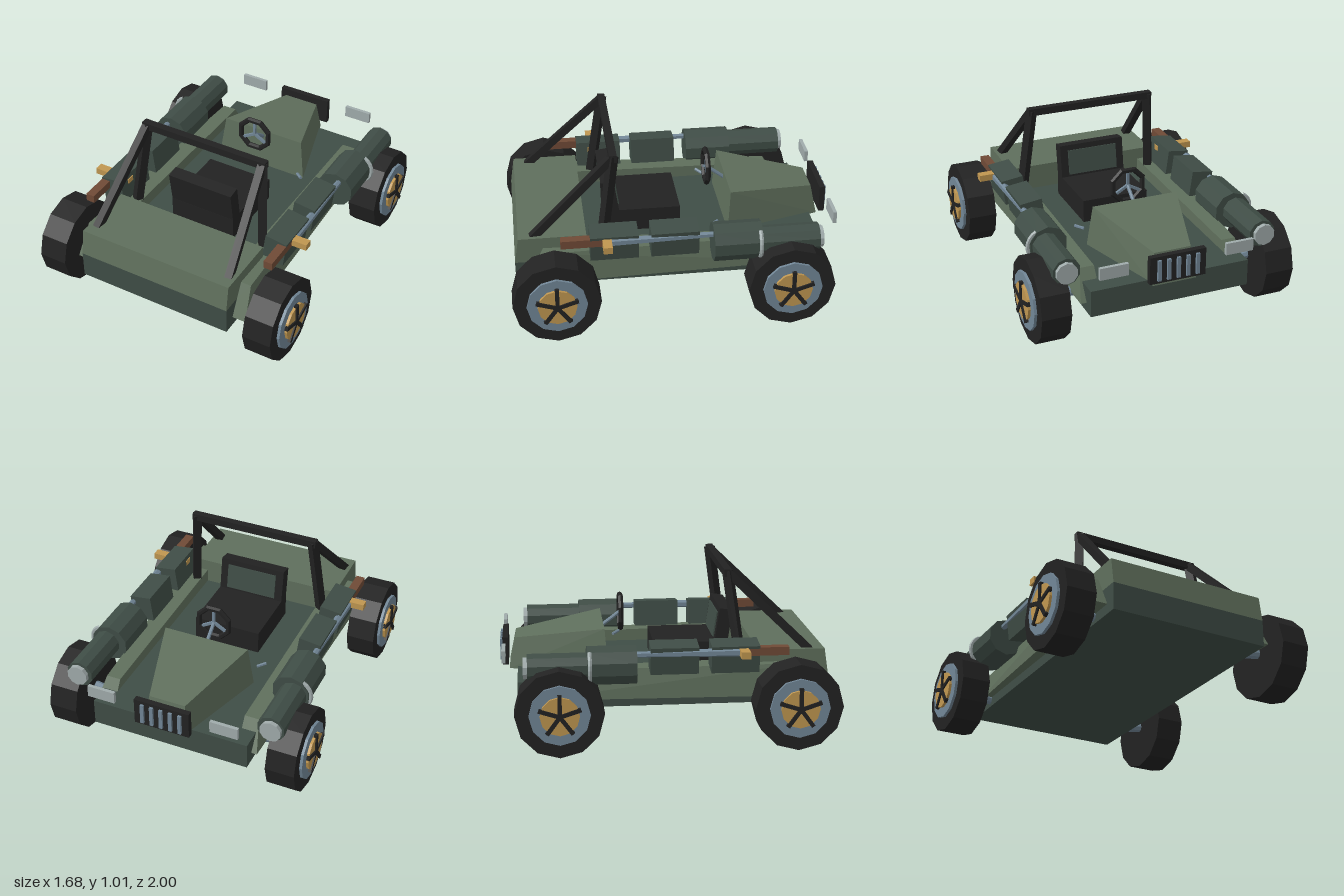
import * as THREE from 'three';
import { ConvexGeometry } from 'three/addons/geometries/ConvexGeometry.js';

const mat = (name, color) => {
  const m = new THREE.MeshStandardMaterial({ color, flatShading: true });
  m.name = name;
  return m;
};

export function createModel() {
  const olive = mat('olive green', 0x5f6f5c);
  const dark = mat('dark green', 0x3f4d46);
  const black = mat('black', 0x222222);
  const slate = mat('slate metal', 0x718696);
  const gold = mat('gold', 0xbf9650);
  const pale = mat('pale grey', 0xa0abab);
  const brown = mat('brown', 0x704a36);

  const model = new THREE.Group();
  model.name = 'openBuggy';
  const V = (p) => new THREE.Vector3(...p);

  const add = (name, geo, material, pos = [0, 0, 0], parent = model) => {
    const m = new THREE.Mesh(geo, material);
    m.name = name;
    m.position.set(...pos);
    parent.add(m);
    return m;
  };
  // box given by its extents on each axis
  const block = (name, material, [x0, x1], [y0, y1], [z0, z1], parent) =>
    add(name, new THREE.BoxGeometry(Math.abs(x1 - x0), y1 - y0, z1 - z0), material,
      [(x0 + x1) / 2, (y0 + y1) / 2, (z0 + z1) / 2], parent);
  const solid = (name, material, pts) => add(name, new ConvexGeometry(pts.map(V)), material);
  // square beam between two points
  const beam = (name, material, a, b, w) => {
    const A = V(a), B = V(b);
    const m = add(name, new THREE.BoxGeometry(w, w, A.distanceTo(B)), material);
    m.position.copy(A).add(B).multiplyScalar(0.5);
    m.lookAt(B);
    return m;
  };
  // round rod between two points
  const rod = (name, material, a, b, r0, r1, sides = 8) => {
    const A = V(a), B = V(b);
    const m = add(name, new THREE.CylinderGeometry(r1, r0, A.distanceTo(B), sides), material);
    m.position.copy(A).add(B).multiplyScalar(0.5);
    m.quaternion.setFromUnitVectors(new THREE.Vector3(0, 1, 0), B.sub(A).normalize());
    return m;
  };

  // hull, hood and rear deck
  block('hull', dark, [-0.5, 0.5], [0.21, 0.375], [-0.895, 0.97]);
  const hood = [], deck = [];
  for (const s of [-1, 1]) {
    hood.push([s * 0.31, 0.36, -0.345], [s * 0.275, 0.63, -0.365],
      [s * 0.135, 0.36, -0.945], [s * 0.115, 0.55, -0.905]);
    deck.push([s * 0.5, 0.375, 0.54], [s * 0.5, 0.535, 0.54],
      [s * 0.5, 0.375, 0.97], [s * 0.5, 0.535, 0.945]);
  }
  solid('hood', olive, hood);
  solid('rearDeck', olive, deck);

  // grille with bars
  block('grille', black, [-0.175, 0.175], [0.395, 0.565], [-0.985, -0.95]);
  for (let i = -2; i <= 2; i++) {
    block('grilleBar', slate, [i * 0.06 - 0.011, i * 0.06 + 0.011], [0.415, 0.545], [-1, -0.985]);
  }

  // seat with a leaning back and inset pad
  block('seatCushion', black, [-0.215, 0.215], [0.375, 0.52], [-0.06, 0.4]);
  const back = new THREE.Group();
  back.name = 'seatBack';
  back.position.set(0, 0.5, 0.35);
  back.rotation.x = 0.15;
  model.add(back);
  block('backrest', black, [-0.215, 0.215], [-0.05, 0.225], [-0.035, 0.045], back);
  block('backrestPad', dark, [-0.165, 0.165], [0.03, 0.19], [-0.043, -0.034], back);

  // steering wheel and column
  add('steeringWheel', new THREE.TorusGeometry(0.105, 0.018, 6, 8, Math.PI * 2)
    .rotateZ(Math.PI / 8), black, [0, 0.675, -0.252]);
  for (let i = 0; i < 3; i++) {
    const a = Math.PI / 2 + i * Math.PI * 2 / 3;
    beam('steeringSpoke', slate, [0, 0.675, -0.252],
      [0.1 * Math.cos(a), 0.675 + 0.1 * Math.sin(a), -0.252], 0.016);
  }
  rod('steeringColumn', slate, [0, 0.675, -0.25], [0, 0.57, -0.39], 0.012, 0.012);

  // roll bar crosspiece
  beam('rollBarTop', black, [-0.42, 0.99, 0.365], [0.42, 0.99, 0.365], 0.045);

  const wheel = (s, z) => {
    const g = new THREE.Group();
    g.name = 'wheel';
    g.position.set(s * 0.71, 0.262, z);
    g.rotation.y = s > 0 ? 0 : Math.PI;
    model.add(g);
    const disc = (name, m, r, x0, x1) => add(name,
      new THREE.CylinderGeometry(r, r, x1 - x0, 12).rotateZ(Math.PI / 2), m, [(x0 + x1) / 2, 0, 0], g);
    disc('tyre', black, 0.26, -0.09, 0.09);
    disc('rim', slate, 0.178, 0.05, 0.107);
    disc('hub', gold, 0.115, 0.06, 0.123);
    for (let i = 0; i < 5; i++) {
      const arm = add('wheelSpoke', new THREE.BoxGeometry(0.02, 0.128, 0.024).translate(0, 0.064, 0),
        black, [0.122, 0, 0], g);
      arm.rotation.x = i * Math.PI * 2 / 5;
    }
  };

  for (const s of [-1, 1]) {
    // side pontoon with sloping ends
    solid('sidePontoon', olive, [
      [s * 0.41, 0.27, 0.9], [s * 0.585, 0.27, 0.9], [s * 0.41, 0.465, 0.8], [s * 0.565, 0.465, 0.8],
      [s * 0.41, 0.27, -0.83], [s * 0.535, 0.27, -0.83], [s * 0.41, 0.44, -0.72], [s * 0.5, 0.44, -0.72]]);

    // roll bar leg and brace
    beam('rollBarLeg', black, [s * 0.445, 0.44, 0.445], [s * 0.395, 1.0, 0.365], 0.05);
    beam('rollBarBrace', black, [s * 0.455, 0.51, 0.87], [s * 0.395, 0.985, 0.375], 0.046);

    // stowed bags, tipped outward
    for (const z of [0.385, 0.025]) {
      const bag = add('sideBag', new THREE.BoxGeometry(0.14, 0.165, 0.285), dark, [s * 0.567, 0.526, z]);
      bag.rotation.z = -s * 0.13;
    }

    // bedroll and lamp housing
    const tube = (name, m, r, z0, z1, x) => add(name,
      new THREE.CylinderGeometry(r, r, z1 - z0, 10).rotateX(Math.PI / 2), m, [x, 0.497, (z0 + z1) / 2]);
    tube('bedroll', dark, 0.118, -0.49, -0.2, s * 0.603);
    tube('lampHousing', dark, 0.085, -0.835, -0.45, s * 0.62);
    tube('headlamp', pale, 0.066, -0.86, -0.83, s * 0.625);
    const clamp = add('lampClamp', new THREE.TorusGeometry(0.1, 0.013, 6, 8, 2.2).rotateZ(-1.1),
      pale, [s * 0.628, 0.5, -0.475]);
    clamp.rotation.y = s > 0 ? 0 : Math.PI;

    // long tool strapped to the side
    block('toolStock', brown, [s * 0.59, s * 0.645], [0.54, 0.59], [0.44, 0.7]);
    block('toolGrip', gold, [s * 0.5, s * 0.74], [0.547, 0.588], [0.403, 0.457]);
    rod('toolShaft', slate, [s * 0.635, 0.563, 0.41], [s * 0.62, 0.56, -0.69], 0.028, 0.01, 6);

    // front marker plate, dashboard lever
    block('markerPlate', pale, [s * 0.305, s * 0.48], [0.488, 0.562], [-0.985, -0.963]);
    rod('lever', slate, [s * 0.3, 0.45, -0.28], [s * 0.345, 0.46, -0.24], 0.01, 0.01, 6);

    // wheels and suspension arms
    for (const z of [0.74, -0.655]) {
      wheel(s, z);
      rod('suspensionArm', slate, [s * 0.44, 0.25, z], [s * 0.65, 0.28, z], 0.03, 0.03);
    }
  }
  return model;
}
